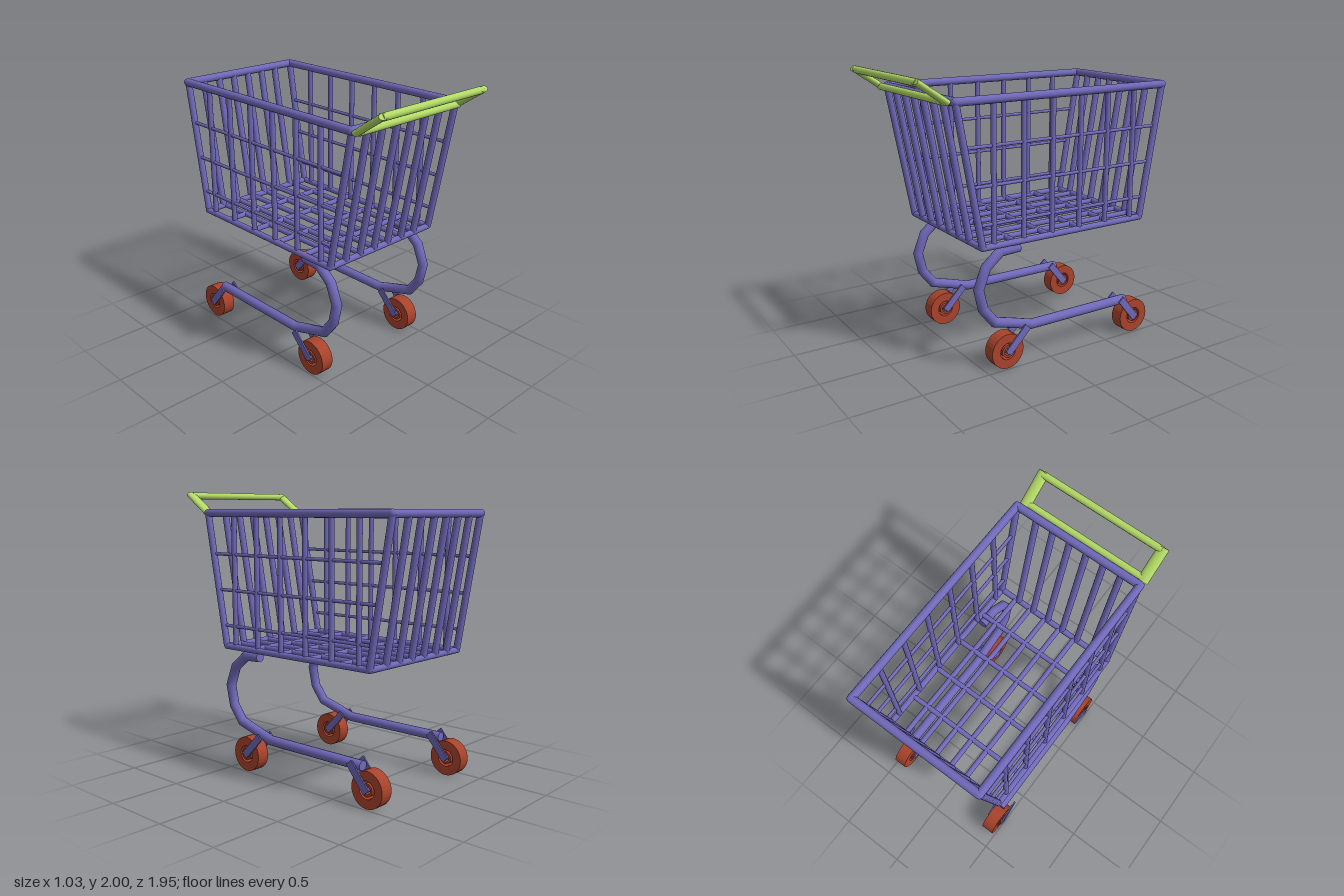
import * as THREE from 'three';

const PURPLE = new THREE.MeshStandardMaterial({ color: 0x6f68b8 });
const GREEN = new THREE.MeshStandardMaterial({ color: 0xb2d966 });
const RED = new THREE.MeshStandardMaterial({ color: 0xa8432b });
const UP = new THREE.Vector3(0, 1, 0);

function add(parent, name, geometry, material) {
  const mesh = new THREE.Mesh(geometry, material);
  mesh.name = name;
  parent.add(mesh);
  return mesh;
}

// Round bar between two points; flat < 1 squashes its local z thickness
function bar(parent, name, a, b, r, material = PURPLE, flat = 1) {
  const p = new THREE.Vector3(...a), q = new THREE.Vector3(...b);
  const d = q.clone().sub(p);
  const mesh = add(parent, name, new THREE.CylinderGeometry(r, r, d.length(), 14), material);
  mesh.scale.z = flat;
  mesh.position.copy(p).add(q).multiplyScalar(0.5);
  mesh.quaternion.setFromUnitVectors(UP, d.normalize());
  return mesh;
}

// Mitred tube along a [z, y] path: each ring of a cylinder moves to a path point
function bentTube(path, r) {
  const n = path.length - 1;
  const geo = new THREE.CylinderGeometry(r, r, n, 16, n);
  const pts = path.map(([z, y]) => new THREE.Vector2(z, y));
  const pos = geo.attributes.position;
  for (let i = 0; i < pos.count; i++) {
    const k = Math.round(pos.getY(i) + n / 2);
    const d0 = pts[Math.max(k, 1)].clone().sub(pts[Math.max(k, 1) - 1]).normalize();
    const j = Math.min(k, n - 1);
    const d1 = pts[j + 1].clone().sub(pts[j]).normalize();
    const t = d0.clone().add(d1).normalize();
    const s = pos.getZ(i) / t.dot(d0);
    pos.setXYZ(i, pos.getX(i), pts[k].y - t.x * s, pts[k].x + t.y * s);
  }
  geo.computeVertexNormals();
  return geo;
}

// Ring with a square section, axis along x
function ring(inner, outer, width) {
  const shape = new THREE.Shape().absarc(0, 0, outer, 0, Math.PI * 2);
  shape.holes.push(new THREE.Path().absarc(0, 0, inner, 0, Math.PI * 2, true));
  return new THREE.ExtrudeGeometry(shape, { depth: width, bevelEnabled: false, curveSegments: 16 })
    .translate(0, 0, -width / 2).rotateY(Math.PI / 2);
}

const TOP = 1.845, LOW = 0.895, SIDE = 0.485;
const frontZ = (y) => THREE.MathUtils.mapLinear(y, LOW, TOP, 0.535, 0.715);
const backZ = (y) => THREE.MathUtils.mapLinear(y, LOW, TOP, -0.79, -0.952);

function makeBasket() {
  const g = new THREE.Group();
  g.name = 'basket';

  // Upper and lower rims with rounded corners
  for (const [y, r, name] of [[TOP, 0.028, 'upperRim'], [LOW, 0.022, 'lowerRim']]) {
    for (const z of [frontZ(y), backZ(y)]) {
      bar(g, name, [-SIDE, y, z], [SIDE, y, z], r);
      for (const x of [-SIDE, SIDE])
        add(g, name + 'Corner', new THREE.SphereGeometry(r, 14, 10), PURPLE).position.set(x, y, z);
    }
    for (const x of [-SIDE, SIDE]) bar(g, name, [x, y, frontZ(y)], [x, y, backZ(y)], r);
  }

  // Sloped bars of the two end panels, corner posts included
  const endX = [-0.48, 0.485];
  for (let i = 0; i < 6; i++) endX.push(-0.346 + i * 0.134);
  for (const x of endX)
    for (const zAt of [frontZ, backZ])
      bar(g, 'endBar', [x, LOW, zAt(LOW)], [x, TOP, zAt(TOP)], 0.024);

  // Side panels: uprights and thin cross wires
  for (const x of [-0.48, 0.48]) {
    for (let i = 0; i < 6; i++) {
      const z = 0.445 - i * 0.229;
      bar(g, 'sideUpright', [x, LOW, z], [x, TOP, z], 0.019);
    }
    for (const y of [1.045, 1.3, 1.555])
      bar(g, 'sideWire', [x, y, frontZ(y)], [x, y, backZ(y)], 0.012);
  }

  // Floor grid
  for (let i = 0; i < 6; i++) {
    const x = -0.326 + i * 0.1355;
    bar(g, 'floorBar', [x, LOW, frontZ(LOW)], [x, LOW, backZ(LOW)], 0.019);
  }
  for (let i = 0; i < 4; i++) {
    const z = -0.538 + i * 0.273;
    bar(g, 'floorCrossBar', [-SIDE, LOW, z], [SIDE, LOW, z], 0.019);
  }
  return g;
}

function makeHandle() {
  const g = new THREE.Group();
  g.name = 'handle';
  const xs = [-0.48, 0.446];
  for (const x of xs) bar(g, 'handleArm', [x, 1.84, 0.75], [x, 1.98, 0.957], 0.039, GREEN, 0.56);
  for (const [y, z] of [[1.847, 0.768], [1.97, 0.94]])
    bar(g, 'handleGrip', [xs[0], y, z], [xs[1], y, z], 0.025, GREEN);
  return g;
}

// Wheel with its pair of fork plates; lean is the z offset of the fork top
function makeCaster(lean) {
  const g = new THREE.Group();
  g.name = 'caster';
  add(g, 'tyre', ring(0.06, 0.125, 0.094), RED);
  add(g, 'hub', ring(0.028, 0.045, 0.094), RED);
  bar(g, 'axle', [-0.06, 0, 0], [0.06, 0, 0], 0.016);
  for (const x of [-0.06, 0.06]) {
    const plate = add(g, 'forkPlate', new THREE.BoxGeometry(0.011, 0.225, 0.055), PURPLE);
    plate.position.set(x, 0.073, lean * 0.49);
    plate.rotation.x = Math.atan2(lean, 0.155);
  }
  return g;
}

export function createModel() {
  const model = new THREE.Group();
  model.name = 'shoppingCart';
  model.add(makeBasket(), makeHandle());

  // Curved legs running into the lower frame, each with two casters
  const path = [[0.233, 0.842], [0.375, 0.835], [0.487, 0.745], [0.545, 0.6], [0.512, 0.455],
    [0.425, 0.345], [0.27, 0.302], [0.13, 0.26], [-0.71, 0.26]];
  for (const x of [-0.43, 0.445])
    add(model, 'frameTube', bentTube(path, 0.035), PURPLE).position.x = x;
  for (const x of [-0.442, 0.44])
    for (const [z, lean] of [[0.343, -0.15], [-0.775, 0.13]]) {
      const caster = makeCaster(lean);
      caster.position.set(x, 0.125, z);
      model.add(caster);
    }
  return model;
}
